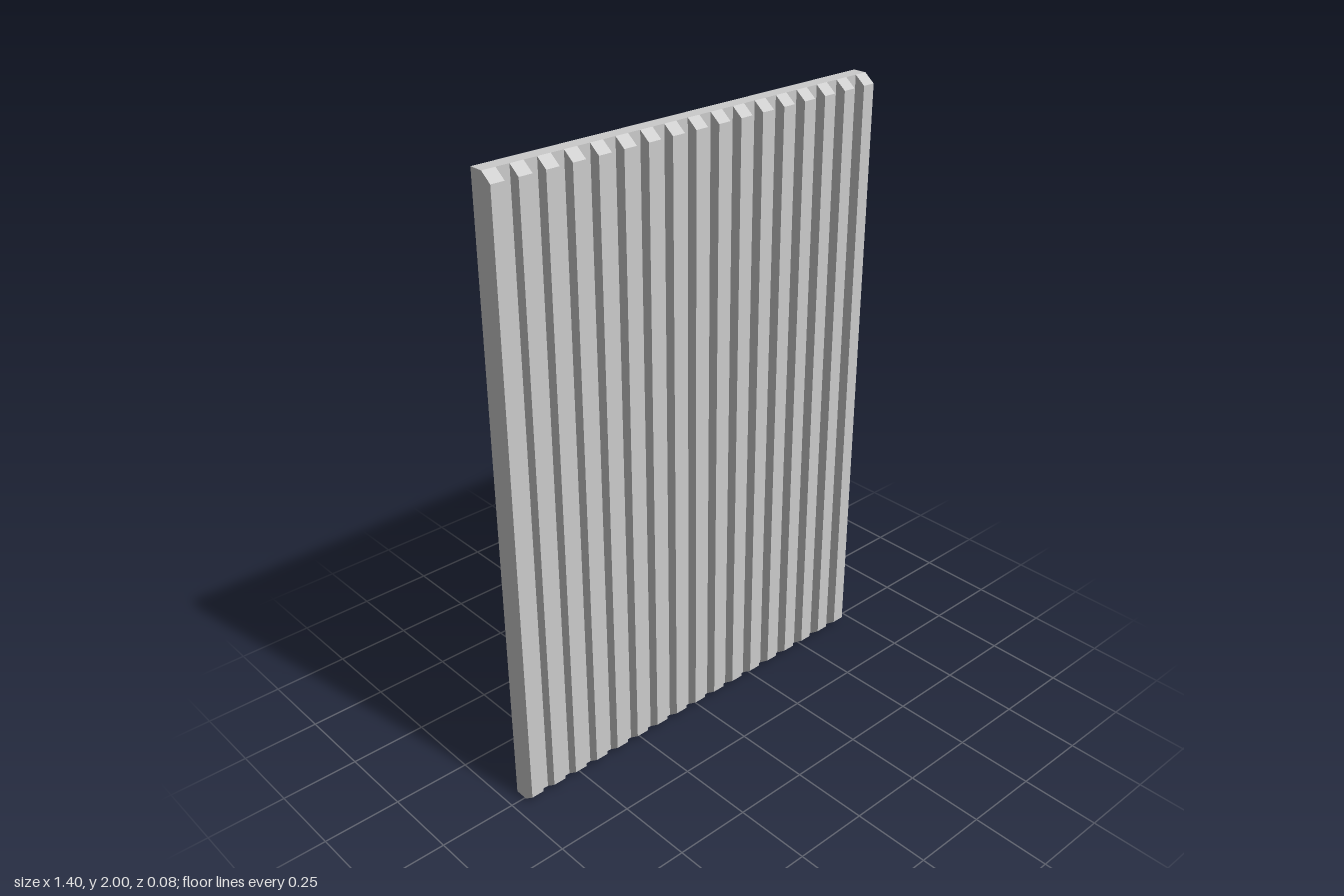
import * as THREE from 'three';

const WIDTH = 1.4, HEIGHT = 2, RIBS = 17, RIB_WIDTH = 0.043;
const BACK = -0.04, FACE = 0.005, FRONT = 0.04, CHAMFER = 0.027;

export function createModel() {
  const group = new THREE.Group();
  group.name = 'ribbedPanel';
  const material = new THREE.MeshStandardMaterial({ color: 0xcccccc, flatShading: true });

  // Flat backing plate
  const plate = new THREE.Mesh(new THREE.BoxGeometry(WIDTH, HEIGHT, FACE - BACK), material);
  plate.name = 'backPlate';
  plate.position.set(0, HEIGHT / 2, (BACK + FACE) / 2);
  group.add(plate);

  // Rib side profile (x = depth, y = height), chamfered at both ends
  const profile = new THREE.Shape([
    [FACE, 0], [FRONT, CHAMFER], [FRONT, HEIGHT - CHAMFER], [FACE, HEIGHT],
  ].map(([z, y]) => new THREE.Vector2(z, y)));
  const ribGeometry = new THREE.ExtrudeGeometry(profile, { depth: RIB_WIDTH, bevelEnabled: false });
  ribGeometry.translate(0, 0, -RIB_WIDTH / 2);
  ribGeometry.rotateY(-Math.PI / 2); // profile depth now runs along +z

  // Evenly spaced vertical ribs, the outer two flush with the plate's edges
  const pitch = (WIDTH - RIB_WIDTH) / (RIBS - 1);
  for (let i = 0; i < RIBS; i++) {
    const rib = new THREE.Mesh(ribGeometry, material);
    rib.name = `rib${i + 1}`;
    rib.position.x = (i - (RIBS - 1) / 2) * pitch;
    group.add(rib);
  }
  return group;
}
